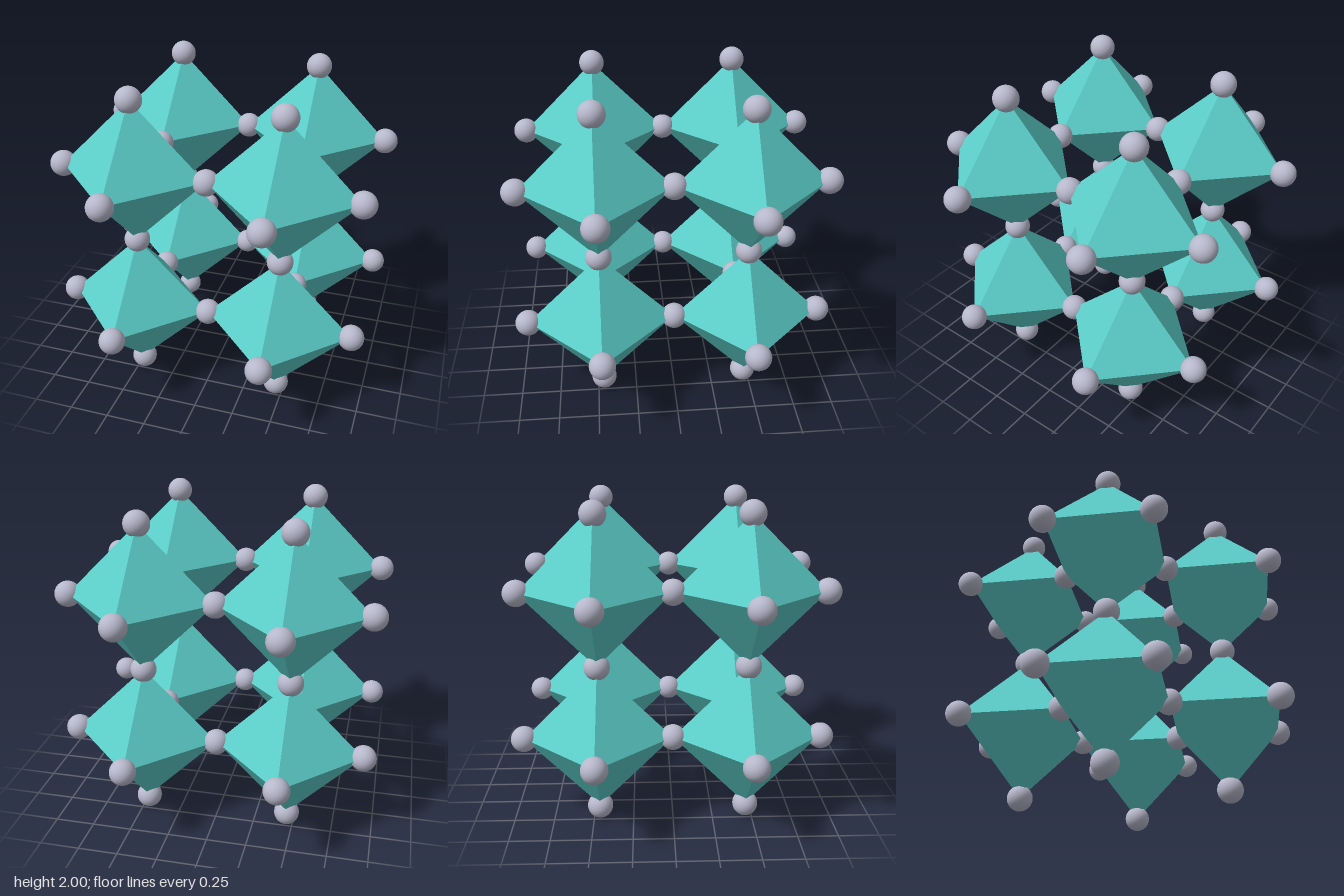
import * as THREE from 'three';

export function createModel() {
  const model = new THREE.Group();
  model.name = 'octahedralLattice';

  const teal = new THREE.MeshStandardMaterial({ color: 0x5bcdc8 });
  teal.name = 'teal';
  const paleGrey = new THREE.MeshStandardMaterial({ color: 0xb8b8cc });
  paleGrey.name = 'paleGrey';

  const R = 0.46;      // centre to corner of an octahedron
  const ball = 0.08;   // radius of a corner ball
  const octahedron = new THREE.OctahedronGeometry(R);
  const sphere = new THREE.SphereGeometry(ball, 32, 20);

  const octahedra = new THREE.Group();
  octahedra.name = 'octahedra';
  const balls = new THREE.Group();
  balls.name = 'cornerBalls';
  model.add(octahedra, balls);

  const place = (group, name, geometry, material, [i, j, k]) => {
    const mesh = new THREE.Mesh(geometry, material);
    mesh.name = name;
    mesh.position.set(i * R, 1 + j * R, k * R);
    group.add(mesh);
  };

  // Grid in steps of R: cells sit where all three indices are odd,
  // balls where exactly two are odd (neighbouring cells share a ball).
  for (let i = -2; i <= 2; i++) {
    for (let j = -2; j <= 2; j++) {
      for (let k = -2; k <= 2; k++) {
        const odd = Math.abs(i % 2) + Math.abs(j % 2) + Math.abs(k % 2);
        if (odd === 3) place(octahedra, 'octahedron', octahedron, teal, [i, j, k]);
        if (odd === 2) place(balls, 'cornerBall', sphere, paleGrey, [i, j, k]);
      }
    }
  }
  return model;
}
